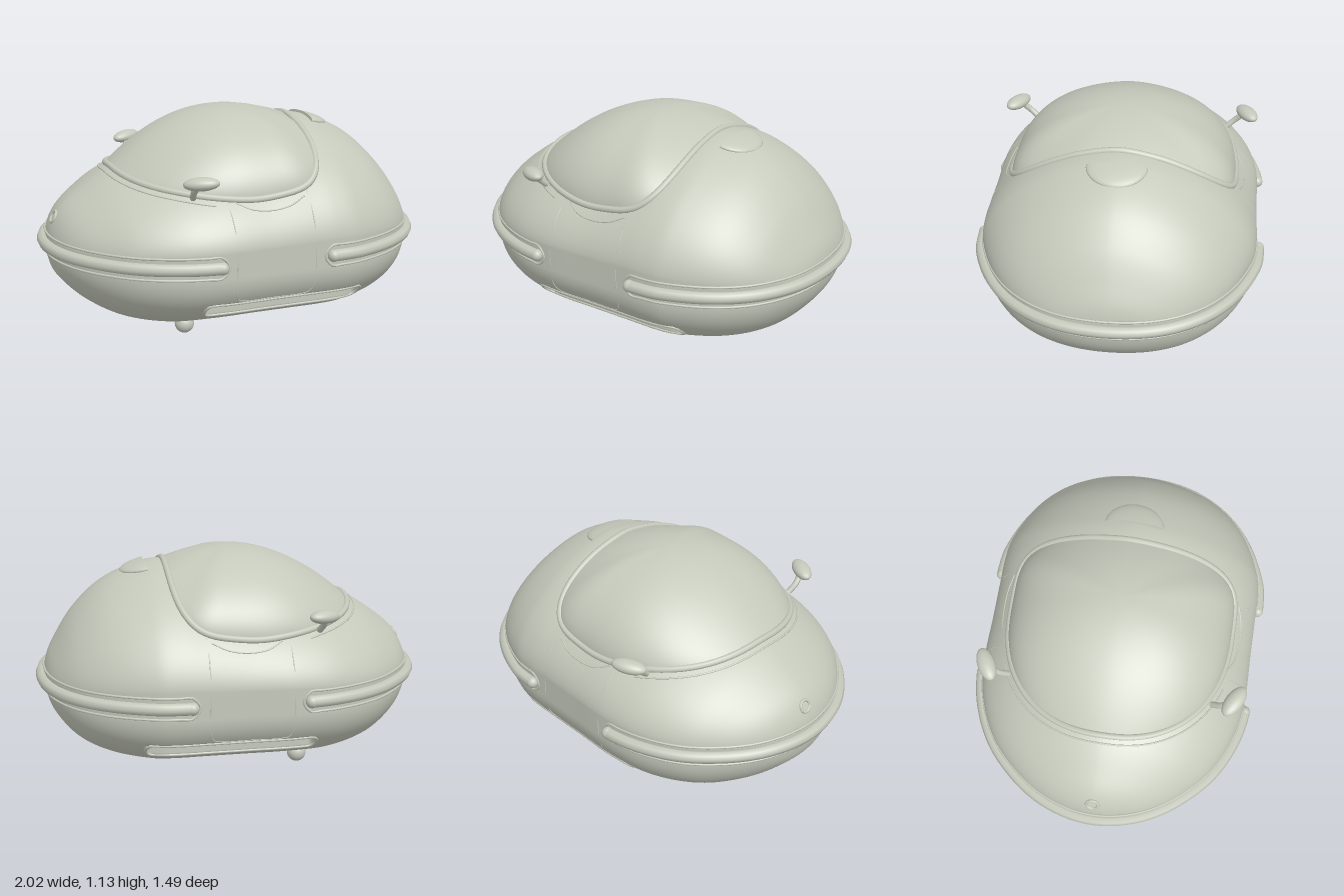
import * as THREE from 'three';

const END = 0.967; // half length of the shell
// stations along the shell: x, half width, top height, bottom height
const STATIONS = [
  [-END, 0, 0.48, 0.48], [-0.95, 0.14, 0.575, 0.35], [-0.9, 0.28, 0.66, 0.275], [-0.8, 0.43, 0.745, 0.185],
  [-0.65, 0.57, 0.84, 0.105], [-0.45, 0.665, 0.92, 0.06], [-0.25, 0.7, 0.965, 0.055], [0, 0.7, 1.0, 0.055],
  [0.2, 0.7, 1.045, 0.055], [0.33, 0.7, 1.065, 0.055], [0.45, 0.685, 1.05, 0.06], [0.65, 0.6, 0.965, 0.1],
  [0.8, 0.48, 0.83, 0.17], [0.9, 0.33, 0.68, 0.27], [0.95, 0.18, 0.58, 0.36], [END, 0, 0.48, 0.48],
];
const angleOf = (x) => Math.asin(Math.max(-1, Math.min(1, x / END)));
const KEYS = STATIONS.map((s) => angleOf(s[0]));
const UP = 1.7, LOW = 2.1; // roundness of the upper and lower section

// smooth interpolation of the stations
function section(x) {
  const s = angleOf(x), last = KEYS.length - 1;
  let i = 0;
  while (i < last - 1 && s > KEYS[i + 1]) i++;
  const h = KEYS[i + 1] - KEYS[i], t = (s - KEYS[i]) / h;
  const value = (c) => {
    const slope = (k) => {
      const a = Math.max(0, k - 1), b = Math.min(last, k + 1);
      return (STATIONS[b][c] - STATIONS[a][c]) / (KEYS[b] - KEYS[a]);
    };
    const t2 = t * t, t3 = t2 * t;
    return (2 * t3 - 3 * t2 + 1) * STATIONS[i][c] + (t3 - 2 * t2 + t) * h * slope(i)
      + (3 * t2 - 2 * t3) * STATIONS[i + 1][c] + (t3 - t2) * h * slope(i + 1);
  };
  const W = Math.max(0, value(1)), T = value(2), B = value(3);
  return { W, T, B, yt: 0.48 + 0.12 * (T - 0.48), yl: 0.48 - 0.15 * (0.48 - B) };
}
const other = (v, n) => Math.pow(Math.max(0, 1 - Math.pow(Math.min(1, Math.abs(v)), n)), 1 / n);
function shellZ(x, y) {
  const { W, T, B, yt, yl } = section(x);
  if (y > yt) return W * other((y - yt) / (T - yt), UP);
  if (y < yl) return W * other((yl - y) / (yl - B), LOW);
  return W;
}
function shellY(x, z) {
  const { W, T, yt } = section(x);
  return yt + (T - yt) * other(z / W, UP);
}

// surface from rings of points, each ring closed
function loft(rings) {
  const n = rings[0].length, index = [];
  for (let i = 0; i < rings.length - 1; i++) for (let j = 0; j < n; j++) {
    const k = (j + 1) % n, a = i * n + j, b = (i + 1) * n + j, c = (i + 1) * n + k, d = i * n + k;
    index.push(a, b, d, b, c, d);
  }
  const g = new THREE.BufferGeometry();
  g.setAttribute('position', new THREE.Float32BufferAttribute(rings.flat(2), 3));
  g.setIndex(index);
  g.computeVertexNormals();
  return g;
}

function shellGeometry() {
  const NX = 200, NU = 70, NL = 120, rings = [];
  for (let i = 0; i <= NX; i++) {
    const x = END * Math.sin((i / NX - 0.5) * Math.PI * 0.9999);
    const { W, T, B, yt, yl } = section(x);
    const ring = [];
    const add = (a, n, base, height) => {
      const c = Math.cos(a), s = Math.abs(Math.sin(a));
      const y = base + height * Math.pow(s, 2 / n);
      let z = W * Math.sign(c) * Math.pow(Math.abs(c), 2 / n);
      // recess above each sill
      if (x > -0.34 && x < 0.5 && y > 0.195 && y < 0.268) {
        z = Math.sign(z) * Math.min(Math.abs(z), shellZ(x, 0.195));
      }
      ring.push([x, y, z]);
    };
    for (let j = 0; j <= NU; j++) add(Math.PI * j / NU, UP, yt, T - yt);
    for (let j = 0; j <= NL; j++) add(Math.PI * (1 + j / NL), LOW, yl, B - yl);
    rings.push(ring);
  }
  return loft(rings);
}

// plan outline of the canopy, following the shell
function rimPoint(a, scale = 1) {
  const c = Math.cos(a), s = Math.sin(a), n = c < 0 ? 2.2 : 4.5;
  const x = (c < 0 ? 0.63 : 0.335) * Math.sign(c) * Math.pow(Math.abs(c), 2 / n) * scale;
  const z = 0.575 * Math.sign(s) * Math.pow(Math.abs(s), 2 / n) * scale;
  return new THREE.Vector3(x, shellY(x, z), z);
}
function canopyGeometry() {
  const rings = [], N = 96, R = 32;
  for (let k = 0; k <= R; k++) {
    const r = Math.cos((k / R) * Math.PI / 2);
    rings.push(Array.from({ length: N }, (_, i) => {
      const a = (i / N) * Math.PI * 2, p = rimPoint(a);
      const power = 1 - 0.45 * Math.sin(a) ** 2;
      return [p.x * r, p.y + (1.13 - p.y) * Math.pow(Math.max(0, 1 - r * r), power), p.z * r];
    }));
  }
  return loft(rings);
}

export function createModel() {
  const model = new THREE.Group();
  const paint = new THREE.MeshStandardMaterial({ color: 0xc5c9bb });
  paint.name = 'pale grey';
  const add = (name, geometry, position = [0, 0, 0]) => {
    const mesh = new THREE.Mesh(geometry, paint);
    mesh.name = name;
    mesh.position.set(...position);
    model.add(mesh);
    return mesh;
  };
  const tube = (name, points, radius, closed = false, steps = 80) =>
    add(name, new THREE.TubeGeometry(new THREE.CatmullRomCurve3(points, closed), steps, radius, 8, closed));

  add('bodyShell', shellGeometry());
  add('canopy', canopyGeometry());

  // canopy rim and the cowl line ahead of it
  const around = (from, to, n, scale) => Array.from({ length: n }, (_, i) => rimPoint(from + (to - from) * i / n, scale));
  tube('canopyRim', around(0, Math.PI * 2, 72), 0.017, true, 160);
  tube('cowlLine', around(Math.PI * 0.62, Math.PI * 1.38, 30, 1.06), 0.005);

  // bumpers wrapping the nose and tail, each in a bordered band
  for (const end of [-1, 1]) {
    const wrap = (x0, y, out) => {
      const s0 = angleOf(x0), pts = [];
      for (let i = -24; i <= 24; i++) {
        const s = Math.PI / 2 - (Math.PI / 2 - s0) * Math.abs(i) / 24;
        const x = END * Math.sin(s) * end;
        pts.push(new THREE.Vector3(x + end * out * Math.sin(s) ** 4, y, Math.sign(i) * (section(x).W + out * Math.cos(s))));
      }
      return pts;
    };
    const path = wrap(0.29, 0.475, 0.012);
    tube('bumper', path, 0.031, false, 120);
    for (const p of [path[0], path[path.length - 1]]) add('bumperEnd', new THREE.SphereGeometry(0.031, 16, 12), p.toArray());
    const upper = wrap(0.29, 0.525, 0), lower = wrap(0.29, 0.42, 0).reverse();
    const tip = (side) => new THREE.Vector3(end * 0.25, 0.473, side * 0.7);
    tube('bumperBandEdge', [...upper, tip(1), ...lower, tip(-1)], 0.006, true, 200);
  }

  for (const side of [-1, 1]) {
    const onShell = (list) => list.map(([x, y]) => new THREE.Vector3(x, y, side * shellZ(x, y)));

    // door seam and the lip below the canopy
    tube('doorSeam', onShell([[-0.21, 0.77], [-0.21, 0.65], [-0.21, 0.5], [-0.21, 0.33], [-0.19, 0.29], [-0.15, 0.28],
      [0, 0.28], [0.14, 0.28], [0.18, 0.29], [0.2, 0.33], [0.2, 0.5], [0.2, 0.65], [0.2, 0.79]]), 0.003);
    tube('doorLip', onShell([[-0.17, 0.75], [-0.1, 0.72], [0, 0.71], [0.1, 0.725], [0.18, 0.76]]), 0.004, false, 30);

    // rounded border of the sill recess
    const border = [];
    for (let i = 0; i <= 8; i++) border.push([0.47 + 0.035 * Math.sin(Math.PI * i / 8), 0.231 + 0.038 * Math.cos(Math.PI * i / 8)]);
    for (let i = 1; i < 10; i++) border.push([0.47 - 0.078 * i, 0.193]);
    for (let i = 0; i <= 8; i++) border.push([-0.31 - 0.035 * Math.sin(Math.PI * i / 8), 0.231 - 0.038 * Math.cos(Math.PI * i / 8)]);
    for (let i = 1; i < 10; i++) border.push([-0.31 + 0.078 * i, 0.269]);
    tube('sillBorder', onShell(border), 0.007, true, 140);

    // door mirror on its stalk
    tube('mirrorStalk', [new THREE.Vector3(-0.37, 0.78, side * 0.52), new THREE.Vector3(-0.38, 0.82, side * 0.565),
      new THREE.Vector3(-0.37, 0.865, side * 0.61)], 0.016, false, 12);
    const head = add('mirrorHead', new THREE.SphereGeometry(1, 24, 16), [-0.365, 0.872, side * 0.625]);
    head.scale.set(0.088, 0.033, 0.045);
    head.rotation.set(0, -side * 0.5, 0.08);

    // small ball wheel
    add('wheel', new THREE.SphereGeometry(0.05, 24, 16), [-0.33, 0.05, side * 0.26]);
  }

  // half-round scoop behind the canopy
  const scoop = new THREE.Group();
  scoop.name = 'rearScoop';
  const hood = new THREE.Mesh(new THREE.SphereGeometry(1, 24, 16, Math.PI / 2, Math.PI), paint);
  hood.name = 'scoopHood';
  const face = new THREE.Mesh(new THREE.CircleGeometry(1, 32), paint);
  face.name = 'scoopFace';
  face.rotation.y = -Math.PI / 2;
  scoop.add(hood, face);
  scoop.scale.set(0.135, 0.03, 0.15);
  scoop.position.set(0.43, 1.037, 0);
  scoop.rotation.z = -0.22;
  model.add(scoop);

  // small ring on the nose
  const ring = add('noseRing', new THREE.TorusGeometry(0.03, 0.008, 10, 28), [-0.932, 0.612, 0]);
  ring.rotation.set(0, -Math.PI / 2, -0.45, 'ZYX');

  return model;
}
